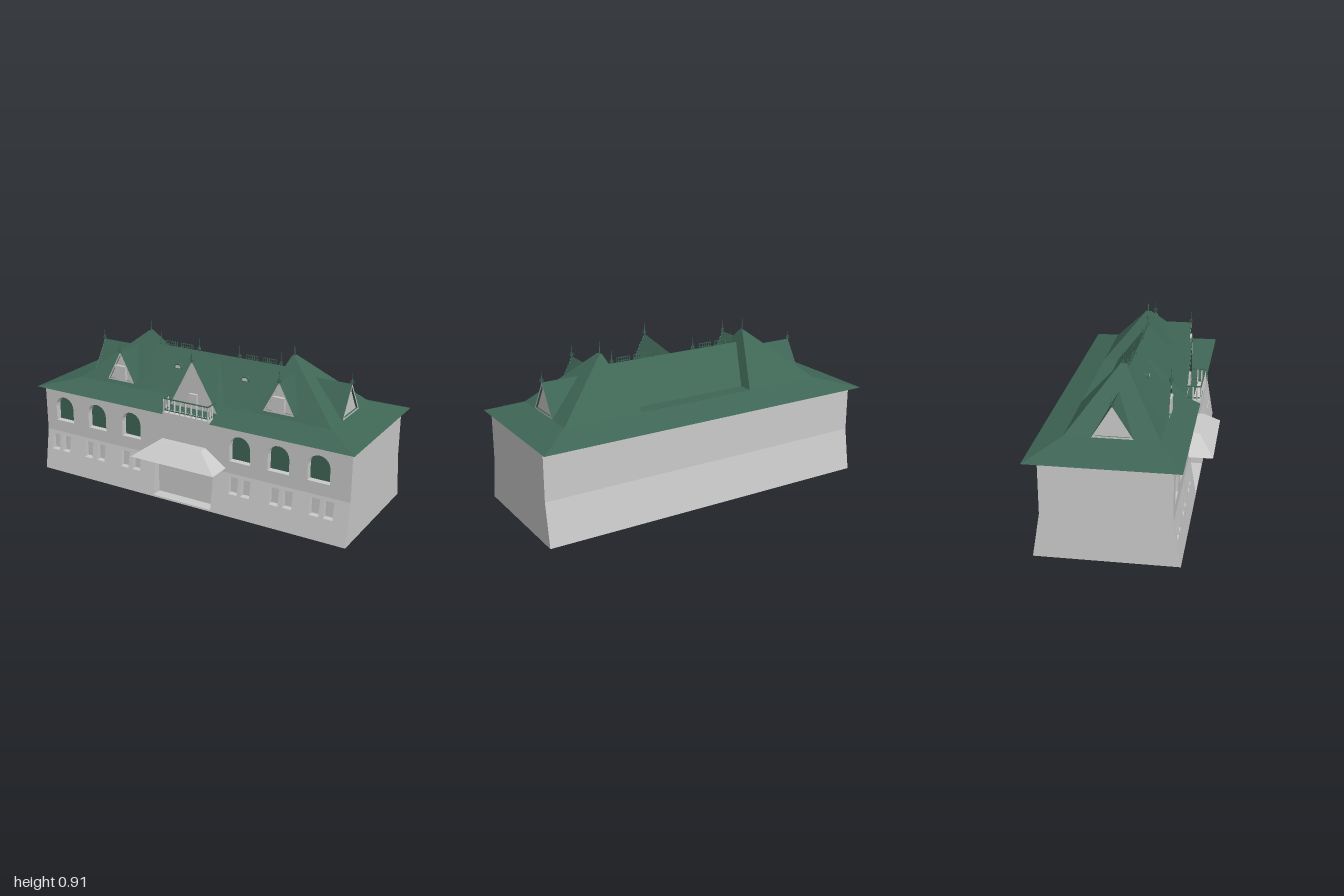
import * as THREE from 'three';

const wallMat = new THREE.MeshStandardMaterial({ color: 0xcccccc, side: THREE.DoubleSide, flatShading: true });
const roofMat = new THREE.MeshStandardMaterial({ color: 0x3f6656, side: THREE.DoubleSide, flatShading: true });

function add(parent, name, geo, mat, x = 0, y = 0, z = 0) {
  const m = new THREE.Mesh(geo, mat);
  m.name = name;
  m.position.set(x, y, z);
  parent.add(m);
  return m;
}

// Flat polygons, each a list of [x, y, z] corners, fanned into triangles
function facets(polys) {
  const pos = [];
  for (const p of polys)
    for (let i = 1; i < p.length - 1; i++) pos.push(...p[0], ...p[i], ...p[i + 1]);
  const g = new THREE.BufferGeometry();
  g.setAttribute('position', new THREE.Float32BufferAttribute(pos, 3));
  g.computeVertexNormals();
  return g;
}

// Rectangle [x0, x1, z0, z1] at y0 rising to another rectangle at y1
function frustum(a, y0, b, y1) {
  const ring = ([x0, x1, z0, z1], y) => [[x0, y, z1], [x1, y, z1], [x1, y, z0], [x0, y, z0]];
  const lo = ring(a, y0), hi = ring(b, y1);
  return facets([...lo.map((p, i) => [p, lo[(i + 1) % 4], hi[(i + 1) % 4], hi[i]]), hi]);
}

const path = (pts) => pts.map(([x, y]) => new THREE.Vector2(x, y));
const rect = (x0, x1, y0, y1) => path([[x0, y0], [x1, y0], [x1, y1], [x0, y1]]);

function arch(x, r, y0, spring) {
  const s = new THREE.Shape();
  s.moveTo(x - r, y0);
  s.lineTo(x + r, y0);
  s.lineTo(x + r, spring);
  s.absarc(x, spring, r, 0, Math.PI, false);
  return s.getPoints(5);
}

function shapeWith(outline, holes) {
  const s = new THREE.Shape(outline);
  s.holes = holes.map((h) => new THREE.Path(h));
  return new THREE.ShapeGeometry(s);
}

// Front wall plane: battered below the knee, upright above
const wallZ = (y) => 0.3 + 0.04 * Math.max(0, 1 - y / 0.24);

function frontWall(parent, name, outline, holes) {
  const g = shapeWith(outline, holes);
  const p = g.attributes.position;
  for (let i = 0; i < p.count; i++) p.setZ(i, wallZ(p.getY(i)));
  g.computeVertexNormals();
  add(parent, name, g, wallMat);
}

// Reveal and pane of an opening in the front wall
function recess(parent, name, pts, back, paneMat) {
  const sides = pts.map((a, i) => {
    const b = pts[(i + 1) % pts.length];
    return [[a.x, a.y, wallZ(a.y)], [a.x, a.y, back], [b.x, b.y, back], [b.x, b.y, wallZ(b.y)]];
  });
  add(parent, name + 'Reveal', facets(sides), wallMat);
  add(parent, name + 'Pane', shapeWith(pts, []), paneMat, 0, 0, back);
}

function finial(parent, x, y, z, h, ring = true) {
  const f = new THREE.Group();
  f.name = 'finial';
  f.position.set(x, y, z);
  add(f, 'spike', new THREE.CylinderGeometry(0.001, 0.004, h, 6), roofMat, 0, h / 2, 0);
  if (ring) {
    add(f, 'ringAcross', new THREE.TorusGeometry(0.011, 0.0015, 4, 12), roofMat, 0, 0.014, 0);
    add(f, 'ringAlong', new THREE.TorusGeometry(0.011, 0.0015, 4, 12), roofMat, 0, 0.014, 0).rotation.y = Math.PI / 2;
  }
  parent.add(f);
}

// Gabled dormer facing +z: half width w, base y0, apex y1, ridge running back to y2
function dormer(parent, name, { w, y0, y1, y2 = y1, ridge, base, lean = 0, win, spike }) {
  const d = new THREE.Group();
  d.name = name;
  const apex = [0, y1, lean], end = [0, y2, -ridge];
  add(d, 'dormerRoof', facets([
    [[-w, y0, 0], apex, end, [-w, y0, -base]],
    [[w, y0, 0], [w, y0, -base], end, apex],
    [[-w, y0, 0], [-w, y0, -base], [w, y0, -base], [w, y0, 0]],
  ]), roofMat);
  const h = y1 - y0, k = 0.84, cy = y0 + h * 0.34;
  const tri = (s) => path([[-w * s, cy + (y0 - cy) * s], [w * s, cy + (y0 - cy) * s], [0, cy + (y1 - cy) * s]]);
  const tilt = (g) => {
    const p = g.attributes.position;
    for (let i = 0; i < p.count; i++) p.setZ(i, lean * (p.getY(i) - y0) / h);
    return g;
  };
  add(d, 'gableFrame', tilt(shapeWith(tri(1), [tri(k)])), wallMat, 0, 0, 0.001);
  add(d, 'gablePanel', tilt(shapeWith(tri(k + 0.06), [])), wallMat, 0, 0, -0.012);
  if (win) add(d, 'gableOpening', new THREE.BoxGeometry(win[0], win[1], 0.022), wallMat, 0, y0 + 0.01 + win[1] / 2, -0.004);
  finial(d, 0, y1 - 0.004, lean, spike);
  parent.add(d);
  return d;
}

export function createModel() {
  const model = new THREE.Group();
  model.name = 'stationBuilding';

  // Walls
  const walls = new THREE.Group();
  walls.name = 'walls';
  model.add(walls);
  const X = 0.975, top = 0.515;
  const ends = [-X, X].flatMap((x) => [
    [[x, 0, 0.34], [x, 0, -0.4], [x, 0.24, -0.36], [x, 0.24, 0.3]],
    [[x, 0.24, 0.3], [x, 0.24, -0.36], [x, top, -0.36], [x, top, 0.3]],
  ]);
  add(walls, 'endWalls', facets(ends), wallMat);
  add(walls, 'backWall', facets([
    [[X, 0, -0.4], [-X, 0, -0.4], [-X, 0.24, -0.36], [X, 0.24, -0.36]],
    [[X, 0.24, -0.36], [-X, 0.24, -0.36], [-X, top, -0.36], [X, top, -0.36]],
  ]), wallMat);

  // Arched windows, small paired windows and the wide entrance
  const arches = [-0.84, -0.605, -0.365, 0.335, 0.565, 0.795].map((x) => arch(x, 0.0625, 0.31, 0.397));
  const smalls = [-0.91, -0.832, -0.665, -0.578, -0.408, -0.328, 0.302, 0.378, 0.548, 0.628, 0.783, 0.862]
    .map((x) => rect(x - 0.027, x + 0.027, 0.125, 0.22));
  const door = rect(-0.2, 0.175, 0.01, 0.225);
  frontWall(walls, 'upperFrontWall', rect(-X, X, 0.24, top), arches);
  frontWall(walls, 'lowerFrontWall', rect(-X, X, 0, 0.24), [...smalls, door]);
  arches.forEach((a) => recess(walls, 'archedWindow', a, 0.265, roofMat));
  smalls.forEach((s) => recess(walls, 'smallWindow', s, 0.285, wallMat));
  recess(walls, 'entrance', door, 0.275, wallMat);

  // Canopy over the entrance
  add(model, 'canopy', frustum([-0.28, 0.25, 0.29, 0.435], 0.263, [-0.155, 0.125, 0.29, 0.35], 0.352), wallMat);

  // Flared eaves with soffit
  const soffit = shapeWith(rect(-1, 1, -0.345, 0.435), [rect(-X, X, -0.3, 0.36)]);
  soffit.rotateX(-Math.PI / 2);
  add(model, 'soffit', soffit, wallMat, 0, top, 0);
  add(model, 'flaredEaves', frustum([-1, 1, -0.435, 0.345], top, [-0.775, 0.815, -0.275, 0.21], 0.572), roofMat);

  // Upper roof, symmetric about its own middle
  const roof = new THREE.Group();
  roof.name = 'upperRoof';
  roof.position.x = 0.02;
  model.add(roof);
  add(roof, 'middleRoof', frustum([-0.36, 0.36, -0.195, 0.17], 0.57, [-0.44, 0.44, -0.022, -0.018], 0.778), roofMat);

  for (const s of [-1, 1]) {
    const span = (a, b) => [Math.min(s * a, s * b), Math.max(s * a, s * b)];
    add(roof, 'endPavilionRoof', frustum(
      [...span(0.345, 0.795), -0.275, 0.21], 0.572, [...span(0.452, 0.468), -0.042, -0.012], 0.846), roofMat);
    finial(roof, s * 0.46, 0.846, -0.028, 0.065, false);

    const front = dormer(roof, 'frontDormer', { w: 0.09, y0: 0.605, y1: 0.775, ridge: 0.185, base: 0.045, win: [0.07, 0.08], spike: 0.07 });
    front.position.set(s * 0.5, 0, 0.225);
    const side = dormer(roof, 'sideDormer', { w: 0.105, y0: 0.575, y1: 0.745, ridge: 0.21, base: 0.01, spike: 0.06 });
    side.position.set(s * 0.796, 0, -0.028);
    side.rotation.y = s * Math.PI / 2;

    // Half-round vents on the middle slope
    const vent = add(roof, 'roofVent', new THREE.CylinderGeometry(0.026, 0.026, 0.04, 12, 1, false, -Math.PI / 2, Math.PI), roofMat, s * 0.215, 0.685, 0.052);
    vent.rotation.x = -Math.PI / 2;
    add(roof, 'ventFace', new THREE.CircleGeometry(0.019, 12, 0, Math.PI), wallMat, s * 0.215, 0.687, 0.073);

    // Ridge cresting and its finials
    for (const x of [0.13, 0.385]) finial(roof, s * x, 0.775, -0.02, 0.075);
    for (const c of [0.21, 0.315]) {
      for (const y of [0.785, 0.804]) add(roof, 'crestingRail', new THREE.BoxGeometry(0.082, 0.003, 0.003), roofMat, s * c, y, -0.02);
      for (let i = -3; i <= 3; i++)
        add(roof, 'crestingBar', new THREE.BoxGeometry(0.003, 0.03, 0.003), roofMat, s * c + i * 0.013, 0.79, -0.02);
    }
  }

  // Central dormer
  const centre = dormer(roof, 'centralDormer', {
    w: 0.148, y0: 0.55, y1: 0.82, y2: 0.77, ridge: 0.278, base: 0.12, lean: 0.012, win: [0.05, 0.075], spike: 0.07 });
  centre.position.set(0.008, 0, 0.268);

  // Balcony
  const balcony = new THREE.Group();
  balcony.name = 'balcony';
  balcony.position.set(0.028, 0, 0);
  model.add(balcony);
  add(balcony, 'balconyFloor', new THREE.BoxGeometry(0.29, 0.016, 0.15), wallMat, 0, 0.524, 0.277);
  for (const y of [0.545, 0.61]) {
    add(balcony, 'frontRail', new THREE.BoxGeometry(0.285, 0.005, 0.007), roofMat, 0, y, 0.346);
    for (const s of [-1, 1])
      add(balcony, 'sideRail', new THREE.BoxGeometry(0.007, 0.005, 0.082), roofMat, s * 0.139, y, 0.308);
  }
  const post = new THREE.CylinderGeometry(0.004, 0.005, 0.082, 6);
  for (let i = 0; i <= 8; i++) add(balcony, 'frontBaluster', post, wallMat, -0.139 + i * 0.03475, 0.57, 0.346);
  for (const s of [-1, 1])
    for (const z of [0.303, 0.325]) add(balcony, 'sideBaluster', post, wallMat, s * 0.139, 0.57, z);

  return model;
}
